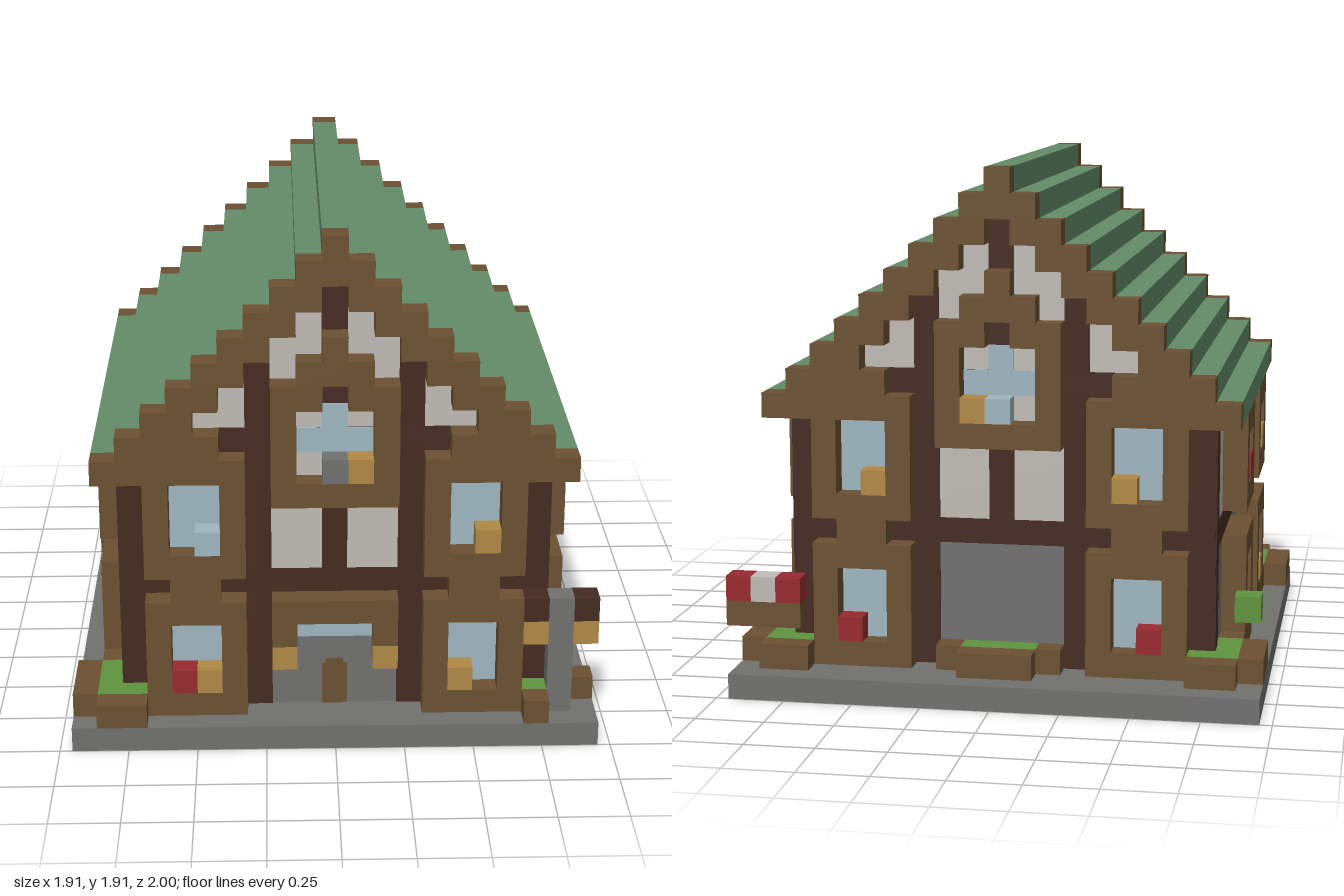
import * as THREE from 'three';

const U = 1 / 11; // edge of one block

export function createModel() {
  const root = new THREE.Group();
  root.name = 'timberHouse';
  const mat = (name, color) => {
    const m = new THREE.MeshStandardMaterial({ color });
    m.name = name;
    return m;
  };
  const wood = mat('brown wood', 0x6b5132), beam = mat('dark timber', 0x452b22);
  const stone = mat('grey stone', 0x717170), plaster = mat('white plaster', 0xbfbbb6);
  const roofGreen = mat('roof green', 0x638c69), glass = mat('pale blue glass', 0x9fb6c1);
  const amber = mat('amber lamp', 0xb08a45), red = mat('red flower', 0x982a30);
  const leaf = mat('leaf green', 0x60933f);

  // Box between two corners, in block units
  const box = (parent, name, m, x0, x1, y0, y1, z0, z1) => {
    const mesh = new THREE.Mesh(
      new THREE.BoxGeometry(Math.abs(x1 - x0) * U, (y1 - y0) * U, Math.abs(z1 - z0) * U), m);
    mesh.position.set((x0 + x1) / 2 * U, (y0 + y1) / 2 * U, (z0 + z1) / 2 * U);
    mesh.name = name;
    parent.add(mesh);
  };
  const group = (name) => {
    const g = new THREE.Group();
    g.name = name;
    root.add(g);
    return g;
  };

  // Stone base around a wooden floor
  const base = group('base');
  for (const s of [-1, 1]) box(base, 'baseSide', stone, s * 7.5, s * 10.5, 0, 1, -11, 11);
  box(base, 'baseFront', stone, -7.5, 7.5, 0, 1, 8, 11);
  box(base, 'baseBack', stone, -7.5, 7.5, 0, 1, -11, -7);
  box(base, 'floor', wood, -7.5, 7.5, 0.04, 1, -7, 8);
  box(base, 'floorLamp', amber, -3.5, -2.5, 0, 0.5, -4, -3);

  // Solid lower and upper storeys
  const walls = group('walls');
  box(walls, 'lowerWall', stone, -8.5, 8.5, 1, 6, -8, 9);
  box(walls, 'upperWall', plaster, -8.5, 8.5, 6, 11, -8, 9);

  // Stepped roof, gable trim and gable wall, row by row
  const roof = group('roof');
  for (let y = 11; y <= 20; y++) {
    const w = 20.5 - y, inner = w - 2;
    const spans = inner > 0 ? [[-w, -inner], [inner, w]] : [[-w, w]];
    for (const [a, b] of spans) {
      box(roof, 'roofStep', roofGreen, a, b, y, y + 1, -8, 9);
      box(roof, 'frontGableTrim', wood, a, b, y, y + 1, 9, 10);
      box(roof, 'backGableTrim', wood, a, b, y, y + 1, -9, -8);
    }
    if (inner > 0) box(walls, 'gableWall', plaster, -inner, inner, y, y + 1, -8, 9);
  }

  // Helpers bound to one wall: "plate" is flush paint, "block" stands out one block
  const T = 0.05;
  const onWall = (g, axis, plane, s) => {
    const put = (depth, lift) => (name, m, a0, a1, y0, y1) => {
      const d0 = plane + s * lift, d1 = plane + s * depth;
      if (axis === 'z') box(g, name, m, a0, a1, y0, y1, d0, d1);
      else box(g, name, m, d0, d1, y0, y1, a0, a1);
    };
    return { plate: put(T, -0.02), pane: put(2 * T, -0.02), block: put(1, 0) };
  };
  // Window frame with its glass; a is the frame's low edge, four blocks wide
  const windowFrame = ({ pane, block }, a, y0, y1) => {
    block('windowSide', wood, a, a + 1, y0, y1);
    block('windowSide', wood, a + 3, a + 4, y0, y1);
    block('windowSill', wood, a + 1, a + 3, y0, y0 + 1);
    block('windowHead', wood, a + 1, a + 3, y1 - 1, y1);
    pane('windowGlass', glass, a + 1, a + 3, y0 + 1, y1 - 1);
  };
  // Blocks sitting in the windows: [material, a, y]
  const ornaments = ({ block }, list) => {
    for (const [m, a, y] of list) block('windowOrnament', m, a, a + 1, y, y + 1);
  };

  // Front and back facades
  const facade = (name, plane, s, items) => {
    const g = group(name), f = onWall(g, 'z', plane, s);
    f.plate('floorBeam', beam, -8.5, 8.5, 6, 7);
    f.plate('gableBeam', beam, -4.5, 4.5, 12, 13);
    f.plate('centrePost', beam, -0.5, 0.5, 7, 10);
    f.plate('upperCentrePost', beam, -0.5, 0.5, 14, 19);
    for (const side of [-1, 1]) {
      f.plate('cornerPost', beam, side * 7.5, side * 8.5, 1, 11);
      f.plate('innerPost', beam, side * 2.5, side * 3.5, 1, 16);
      const a = side > 0 ? 3.5 : -7.5;
      windowFrame(f, a, 1, 6);
      windowFrame(f, a, 7, 12);
      for (const y of [6, 12]) f.block('windowLink', wood, a + 1, a + 3, y, y + 1);
      f.block('atticWindowSide', wood, side * 1.5, side * 2.5, 10, 15);
      f.block('atticWindowHead', wood, side * 0.5, side * 1.5, 14, 15);
    }
    f.block('atticSill', wood, -1.5, 1.5, 10, 11);
    f.block('atticGable', wood, -1.5, 1.5, 15, 16);
    f.block('atticPeak', wood, -0.5, 0.5, 16, 17);
    f.plate('atticWall', plaster, -1.5, 1.5, 11, 12);
    f.pane('atticGlass', glass, -1.5, 1.5, 12, 13);
    f.pane('atticGlass', glass, -0.5, 0.5, 11, 14);
    ornaments(f, items);
    return f;
  };
  const front = facade('frontFacade', 9, 1, [
    [glass, -5.5, 8], [amber, 5.5, 8], [red, -6.5, 2], [amber, -5.5, 2], [amber, 4.5, 2],
    [stone, -0.5, 11], [amber, 0.5, 11]]);
  facade('backFacade', -8, -1, [
    [amber, 4.5, 8], [amber, -5.5, 8], [red, 5.5, 2], [red, -6.5, 2],
    [amber, 0.5, 11], [glass, -0.5, 11]]);

  // Entrance
  front.plate('transom', glass, -1.5, 1.5, 4, 5);
  front.plate('door', wood, -0.5, 0.5, 1, 2.8);
  front.plate('doorTop', wood, -0.35, 0.35, 2.8, 3);
  front.block('porchBeam', wood, -2.5, 2.5, 5, 6);
  for (const s of [-1, 1]) {
    front.block('porchBracket', wood, s * 1.5, s * 2.5, 4, 5);
    front.block('porchLamp', amber, s * 1.5, s * 2.5, 3, 4);
  }

  // Side walls
  const sideWall = (name, s, items) => {
    const f = onWall(group(name), 'x', s * 8.5, s);
    f.plate('floorBeam', beam, -8, 9, 6, 7);
    f.plate('frontPost', beam, 8, 9, 1, 11);
    f.plate('backPost', beam, -8, -7, 1, 11);
    for (const a of [2, -5]) {
      windowFrame(f, a, 1, 6);
      windowFrame(f, a, 7, 11);
    }
    ornaments(f, items);
  };
  sideWall('rightWall', 1, [
    [amber, 3, 8], [glass, -3, 8], [amber, 4, 2], [amber, -3, 2], [amber, -4, 2]]);
  sideWall('leftWall', -1, [
    [red, -3, 8], [amber, 4, 8], [amber, -4, 2], [amber, 4, 2]]);

  // Planters around the house: [x0, x1, z0, z1]
  const planters = group('planters');
  const planter = (rims, soils) => {
    for (const [a, b, c, d] of rims) box(planters, 'planterRim', wood, a, b, 1, 2, c, d);
    for (const [a, b, c, d] of soils) box(planters, 'planterGrass', leaf, a, b, 1, 2, c, d);
  };
  planter([[-9.5, -7.5, 10, 11], [-10.5, -9.5, 7, 10], [-9.5, -8.5, 6, 7]],
    [[-9.5, -8.5, 7, 10], [-8.5, -7.5, 9, 10]]);
  planter([[7.5, 8.5, 10, 11], [9.5, 10.5, 8, 9], [8.5, 9.5, 7, 8]],
    [[8.5, 9.5, 8, 9], [7.5, 8.5, 9, 10]]);
  for (const s of [-1, 1]) {
    planter([[s * 7.5, s * 9.5, -10, -9], [s * 9.5, s * 10.5, -9, -6], [s * 8.5, s * 9.5, -6, -5]],
      [[s * 8.5, s * 9.5, -9, -6], [s * 7.5, s * 8.5, -9, -8]]);
  }
  planter([[-1.5, 1.5, -10, -9], [-2.5, -1.5, -9, -8], [1.5, 2.5, -9, -8]], [[-1.5, 1.5, -9, -8]]);

  // Lamp post with two lanterns
  const lamp = group('lampPost');
  box(lamp, 'post', stone, 8.5, 9.5, 1, 6, 9, 10);
  for (const x of [7.5, 9.5]) {
    box(lamp, 'lantern', amber, x, x + 1, 4, 5, 9, 10);
    box(lamp, 'lanternCap', beam, x, x + 1, 5, 6, 9, 10);
  }

  // Floating flower box and leaf block at the back corners
  const flowers = group('flowerBox');
  box(flowers, 'trough', wood, 7.5, 10.5, 3, 4, -11, -10);
  [red, plaster, red].forEach((m, i) =>
    box(flowers, 'flower', m, 7.5 + i, 8.5 + i, 4, 5, -11, -10));
  box(root, 'leafBlock', leaf, -10.5, -9.5, 4, 5, -11, -10);

  return root;
}
